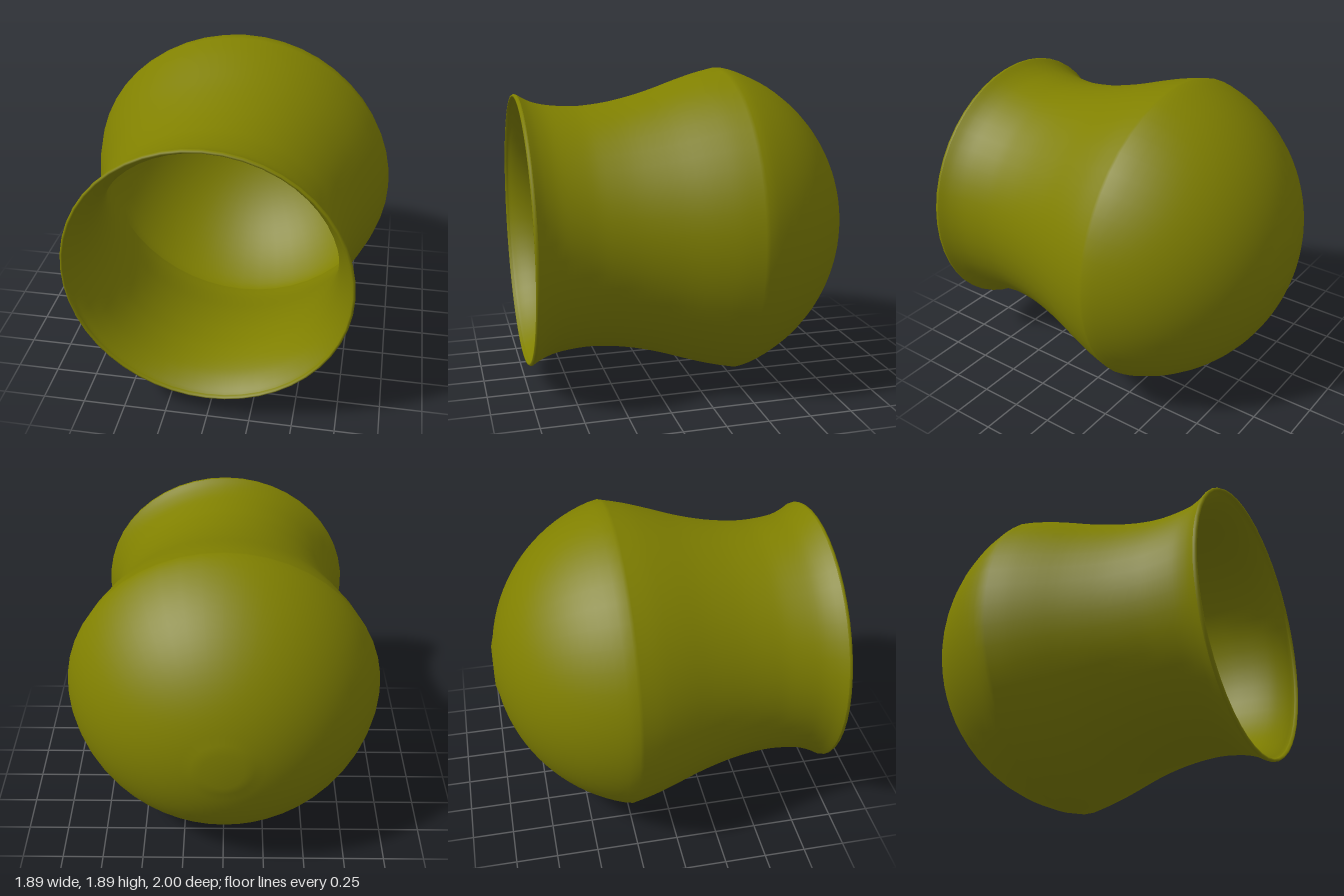
import * as THREE from 'three';

// Vase lying on its side: turned about its axis, mouth facing +z
export function createModel() {
  const group = new THREE.Group();
  group.name = 'vase';
  const material = new THREE.MeshStandardMaterial({ color: 0x808000, side: THREE.DoubleSide });
  const SEGMENTS = 48, MAX_R = 0.945, WALL = 0.028;
  const v = (r, z) => new THREE.Vector2(r, z);

  // Round bowl: circular arc from the small flat base to the widest ring
  const R = 0.978, centre = -0.022;
  const a0 = Math.asin(0.12 / R), a1 = Math.PI / 2 - Math.asin(0.238 / R);
  const bowl = [];
  for (let i = 0; i <= 20; i++) {
    const a = a0 + (a1 - a0) * i / 20;
    bowl.push(v(R * Math.sin(a), Math.max(-1, centre - R * Math.cos(a))));
  }
  bowl[0].y = -1;
  bowl[20].set(MAX_R, -0.26);

  // Waisted neck flaring to the mouth
  const neck = new THREE.SplineCurve([
    v(MAX_R, -0.26), v(0.915, -0.13), v(0.875, 0), v(0.808, 0.2), v(0.758, 0.4),
    v(0.735, 0.57), v(0.733, 0.69), v(0.749, 0.83), v(0.778, 0.92), v(0.812, 0.98),
  ]).getPoints(36);

  const outer = [...bowl, ...neck.slice(1)];

  // Inner wall: the outer profile moved inward along its normals
  const inner = outer.map((p, i) => {
    const a = outer[Math.max(0, i - 1)], b = outer[Math.min(outer.length - 1, i + 1)];
    const t = b.clone().sub(a).normalize();
    const w = WALL * Math.min(1, 0.5 + (outer.length - 1 - i) / 20);
    return v(p.x - t.y * w, p.y + t.x * w);
  });
  inner[inner.length - 1].set(0.794, 0.985);

  function turned(name, points) {
    const geometry = new THREE.LatheGeometry(points, SEGMENTS);
    geometry.rotateX(Math.PI / 2);
    const mesh = new THREE.Mesh(geometry, material);
    mesh.name = name;
    mesh.position.y = MAX_R;
    group.add(mesh);
  }

  turned('outerWall', [v(0, -1), ...outer]);
  turned('rim', [v(0.812, 0.98), v(0.814, 0.99), v(0.808, 1), v(0.798, 1), v(0.794, 0.985)]);
  turned('innerWall', [...inner.reverse(), v(0, -1 + WALL)]);
  return group;
}
